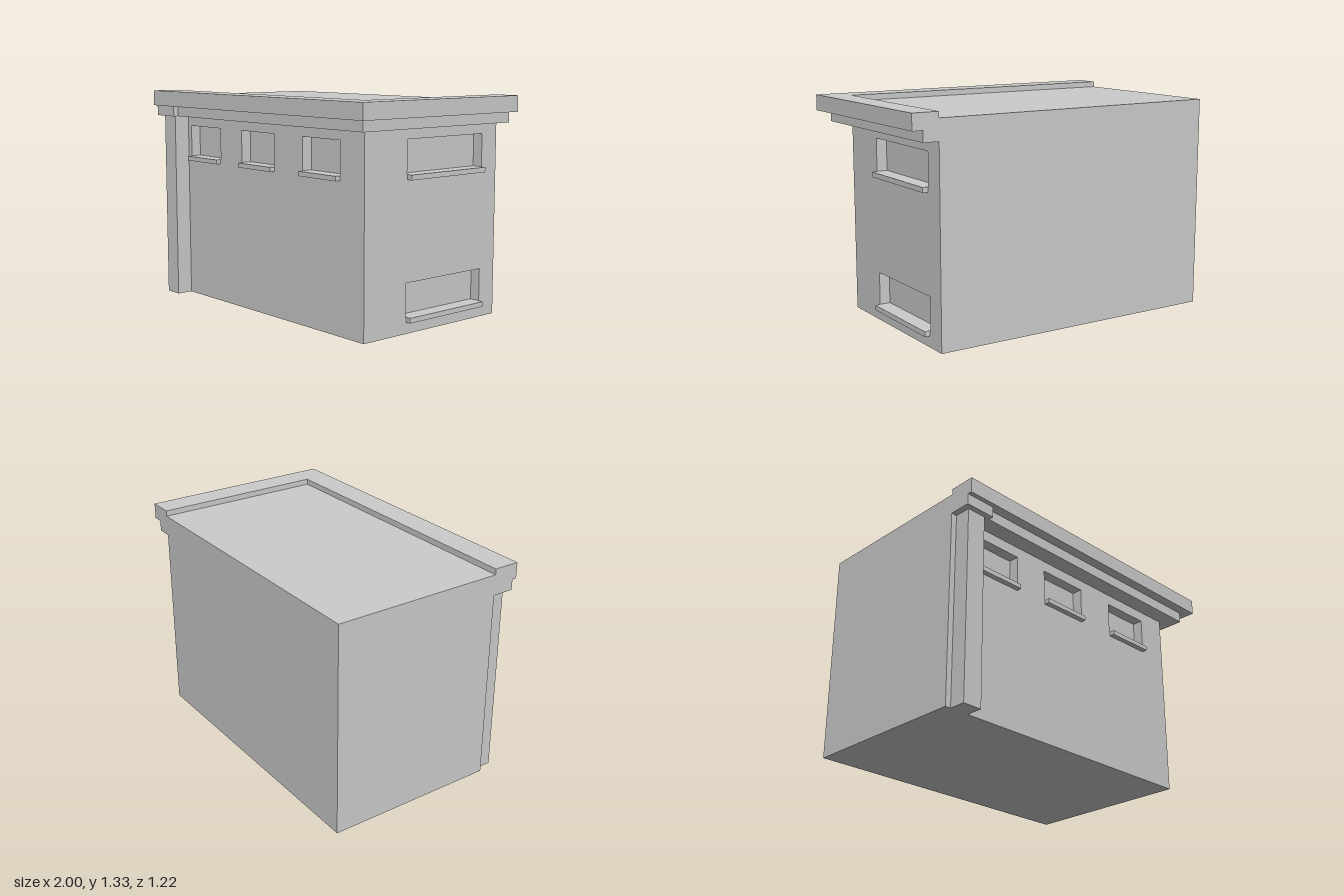
import * as THREE from 'three';

const material = new THREE.MeshStandardMaterial({ color: 0xcccccc, flatShading: true });

// Building limits: back, front, left-hand end, right-hand end
const BACK = -0.61, FRONT = 0.45, X0 = -1, X1 = 0.84;
const ROOF = 1.29, RECESS = 0.065;

export function createModel() {
  const model = new THREE.Group();
  model.name = 'building';

  function add(name, geometry) {
    const mesh = new THREE.Mesh(geometry, material);
    mesh.name = name;
    model.add(mesh);
    return mesh;
  }

  // Box given by its limits on each axis
  function box(name, x0, x1, y0, y1, z0, z1) {
    const geometry = new THREE.BoxGeometry(x1 - x0, y1 - y0, z1 - z0);
    geometry.translate((x0 + x1) / 2, (y0 + y1) / 2, (z0 + z1) / 2);
    return add(name, geometry);
  }

  // Floor-plan outline of [x, z] points raised from y0 to y1
  function plan(name, points, y0, y1) {
    const shape = new THREE.Shape(points.map(([x, z]) => new THREE.Vector2(x, -z)));
    const geometry = new THREE.ExtrudeGeometry(shape, { depth: y1 - y0, bevelEnabled: false });
    geometry.rotateX(-Math.PI / 2).translate(0, y0, 0);
    return add(name, geometry);
  }

  function rectangle(Type, u0, u1, v0, v1) {
    return new Type([[u0, v0], [u1, v0], [u1, v1], [u0, v1]].map(p => new THREE.Vector2(...p)));
  }

  // Wall slab with window openings, facing +z
  function wallGeometry(u0, u1, windows) {
    const shape = rectangle(THREE.Shape, u0, u1, 0, ROOF);
    for (const w of windows) shape.holes.push(rectangle(THREE.Path, ...w));
    return new THREE.ExtrudeGeometry(shape, { depth: RECESS, bevelEnabled: false });
  }

  // Core, whose faces close the window recesses
  box('core', X0, X1 - RECESS, 0, ROOF, BACK, FRONT - RECESS);

  // Front wall with three windows and sills
  const frontWindows = [-0.81, -0.263, 0.32].map(x => [x, x + 0.324, 0.905, 1.1]);
  add('frontWall', wallGeometry(X0, X1, frontWindows).translate(0, 0, FRONT - RECESS));
  for (const [x0, x1, y] of frontWindows) {
    box('frontSill', x0 + 0.003, x1 - 0.003, y - 0.028, y, FRONT, FRONT + 0.033);
  }

  // Side wall with one high and one low window; u runs along -z
  const sideWindows = [[-0.13, 0.485, 0.905, 1.1], [-0.13, 0.485, 0.097, 0.293]];
  const side = wallGeometry(-(FRONT - RECESS), -BACK, sideWindows);
  side.rotateY(Math.PI / 2).translate(X1 - RECESS, 0, 0);
  add('sideWall', side);
  for (const [u0, u1, y] of sideWindows) {
    box('sideSill', X1, X1 + 0.033, y - 0.03, y, -u1 + 0.003, -u0 - 0.003);
  }

  // Corner pilaster
  box('pilaster', -0.965, -0.845, 0, 1.165, FRONT, 0.55);

  // Cornice band, stepping forward over the pilaster
  plan('corniceBand', [
    [X0, FRONT], [X0, 0.583], [-0.81, 0.583], [-0.81, 0.55], [0.935, 0.55],
    [0.935, BACK], [X1, BACK], [X1, FRONT],
  ], 1.165, 1.23);

  // Parapet along the front and one side, rising above the roof
  plan('parapet', [
    [X0, FRONT], [X0, 0.61], [1, 0.61], [1, BACK], [X1, BACK], [X1, FRONT],
  ], 1.23, 1.325);

  return model;
}
